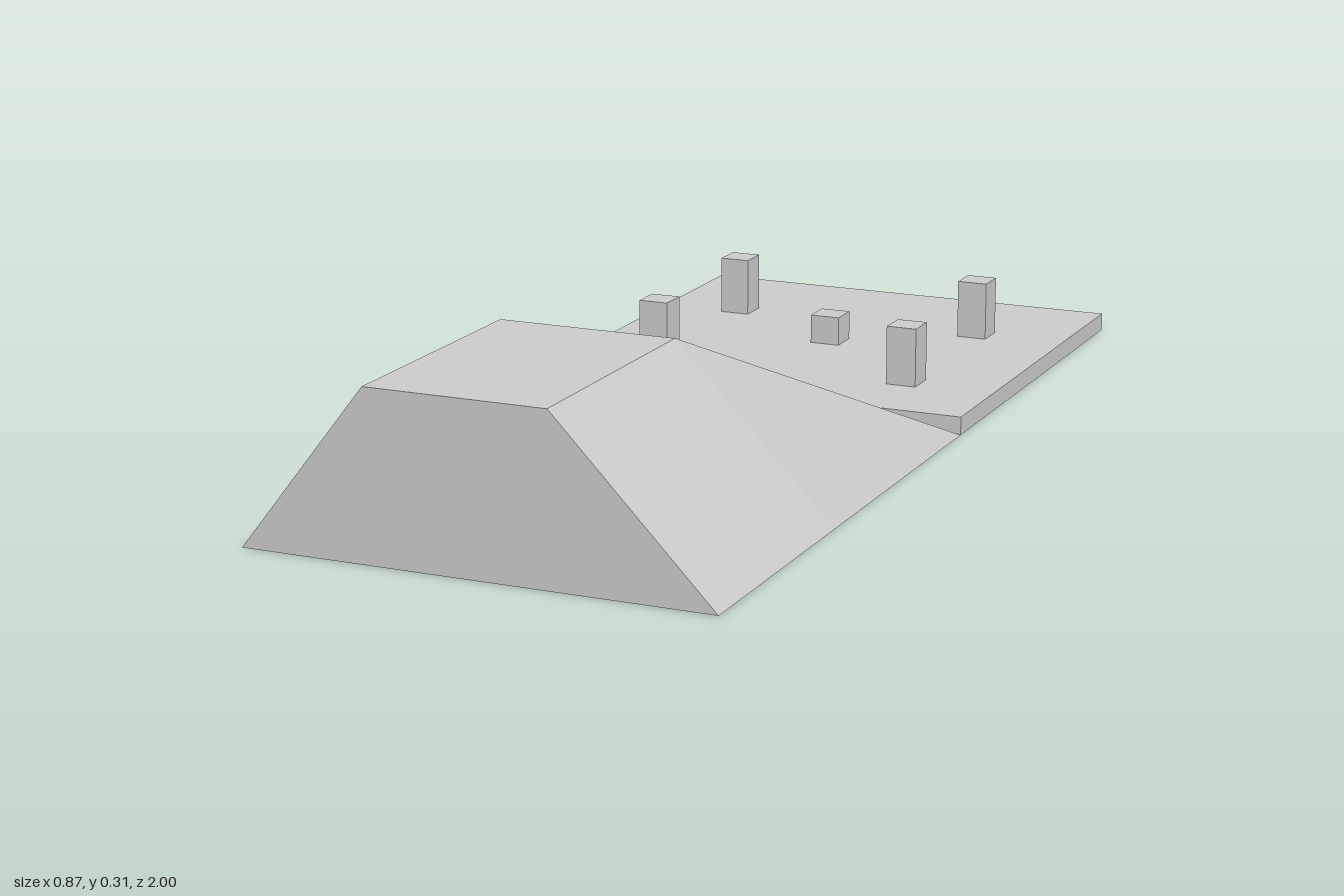
import * as THREE from 'three';

const material = new THREE.MeshStandardMaterial({ color: 0xcccccc });

function addBox(parent, name, w, h, d, x, y, z) {
  const mesh = new THREE.Mesh(new THREE.BoxGeometry(w, h, d), material);
  mesh.name = name;
  mesh.position.set(x, y + h / 2, z);
  parent.add(mesh);
}

// Solid lofted through four-cornered sections; every quad is shaded with a single normal.
function loft(sections) {
  const positions = [], normals = [];
  const quad = (a, b, c, d) => {
    const n = c.clone().sub(a).cross(d.clone().sub(b)).normalize();
    for (const p of [a, b, c, a, c, d]) {
      positions.push(p.x, p.y, p.z);
      normals.push(n.x, n.y, n.z);
    }
  };
  for (let s = 0; s < sections.length - 1; s++) {
    const f = sections[s], b = sections[s + 1];
    // The fold of a twisted side runs from the high front corner to the low rear corner.
    quad(f[1], f[0], b[0], b[1]); // underside
    quad(b[1], b[2], f[2], f[1]); // left side
    quad(f[2], b[2], b[3], f[3]); // top
    quad(f[3], b[3], b[0], f[0]); // right side
  }
  const last = sections[sections.length - 1];
  quad(...sections[0]);
  quad(last[3], last[2], last[1], last[0]);
  // Reorder the left sides' split so both sides fold the same way
  const g = new THREE.BufferGeometry();
  g.setAttribute('position', new THREE.Float32BufferAttribute(positions, 3));
  g.setAttribute('normal', new THREE.Float32BufferAttribute(normals, 3));
  return g;
}

export function createModel() {
  const model = new THREE.Group();
  model.name = 'rampAndPlatform';

  const left = 0.434, right = -0.437, step = -0.126, slabTop = 0.035;

  // Raised block with sloping sides, running down to the platform
  const section = (z, h) => [
    new THREE.Vector3(right, 0, z),
    new THREE.Vector3(left, 0, z),
    new THREE.Vector3(0.137, h, z),
    new THREE.Vector3(-0.199, h, z),
  ];
  const ramp = new THREE.Mesh(
    loft([section(1, 0.305), section(0.508, 0.305), section(step, slabTop)]),
    material
  );
  ramp.name = 'ramp';
  model.add(ramp);

  // Flat platform behind the ramp
  addBox(model, 'platform', left - right, slabTop, step + 1, (left + right) / 2, 0, (step - 1) / 2);

  // Four corner posts and a short one in the middle
  const posts = new THREE.Group();
  posts.name = 'posts';
  for (const x of [-0.274, 0.251]) {
    for (const z of [-0.322, -0.728]) addBox(posts, 'cornerPost', 0.06, 0.115, 0.06, x, slabTop, z);
  }
  addBox(posts, 'centrePost', 0.06, 0.057, 0.06, -0.004, slabTop, -0.562);
  model.add(posts);

  return model;
}
